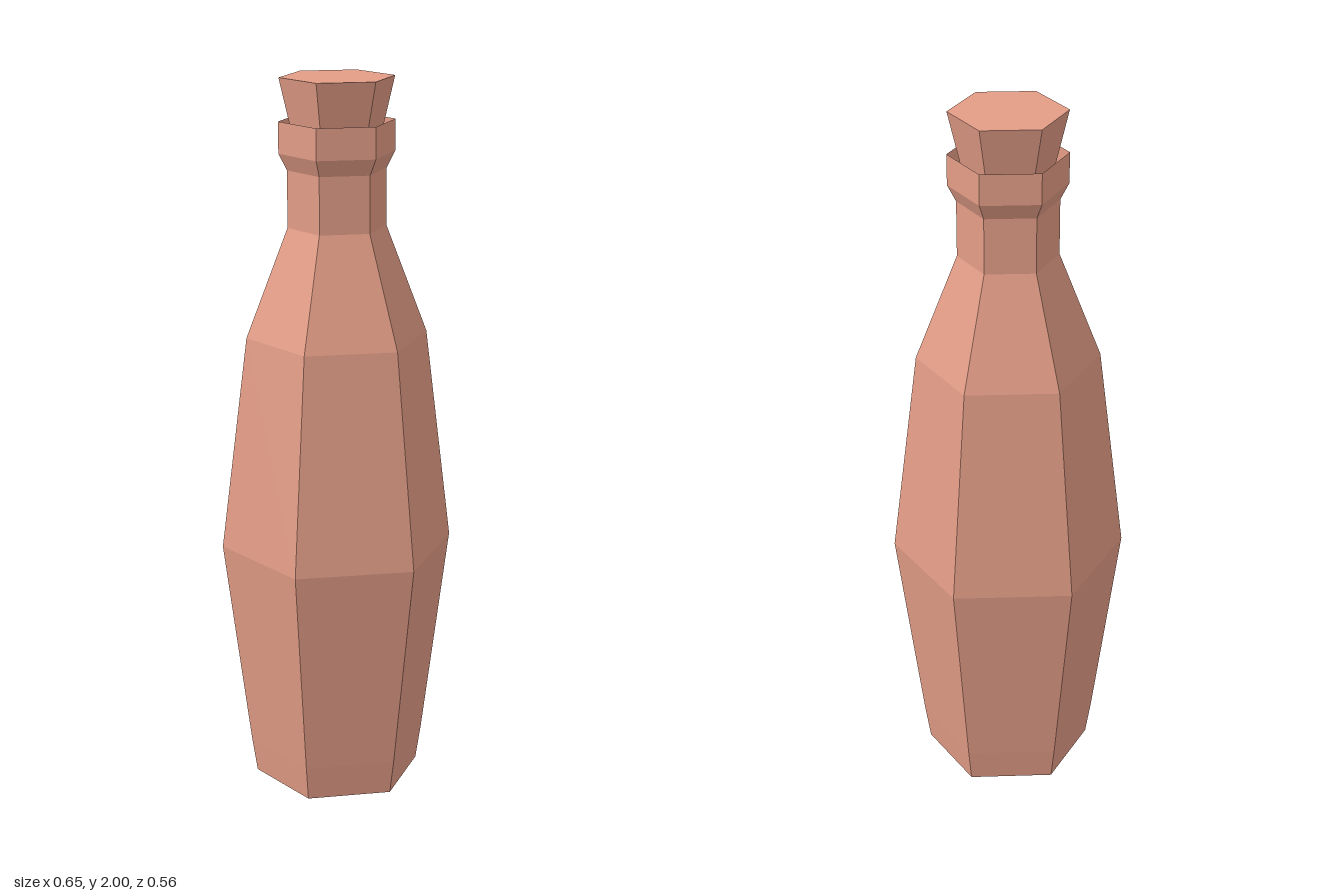
import * as THREE from 'three';

const SIDES = 6;

// Faceted turned part with corners pointing along +x and -x
function turned(name, profile, material) {
  const points = profile.map(([r, y]) => new THREE.Vector2(r, y));
  const geometry = new THREE.LatheGeometry(points, SIDES, Math.PI / 6).toNonIndexed();
  geometry.computeVertexNormals();
  const mesh = new THREE.Mesh(geometry, material);
  mesh.name = name;
  return mesh;
}

export function createModel() {
  const group = new THREE.Group();
  group.name = 'bottle';
  const material = new THREE.MeshStandardMaterial({
    color: 0xe39d87,
    flatShading: true,
    side: THREE.DoubleSide,
  });

  // Thin shell, open at the base and at the mouth
  group.add(turned('bottleBody', [
    [0.235, 0], [0.25, 0.1], [0.325, 0.7], [0.25, 1.3], [0.135, 1.6],
  ], material));

  // Straight neck flaring into the lip
  group.add(turned('neckAndLip', [
    [0.135, 1.6], [0.135, 1.755], [0.158, 1.80], [0.158, 1.885],
  ], material));

  // Tapered stopper reaching down into the mouth
  group.add(turned('stopper', [
    [0, 1.76], [0.1, 1.76], [0.156, 2], [0, 2],
  ], material));

  return group;
}
